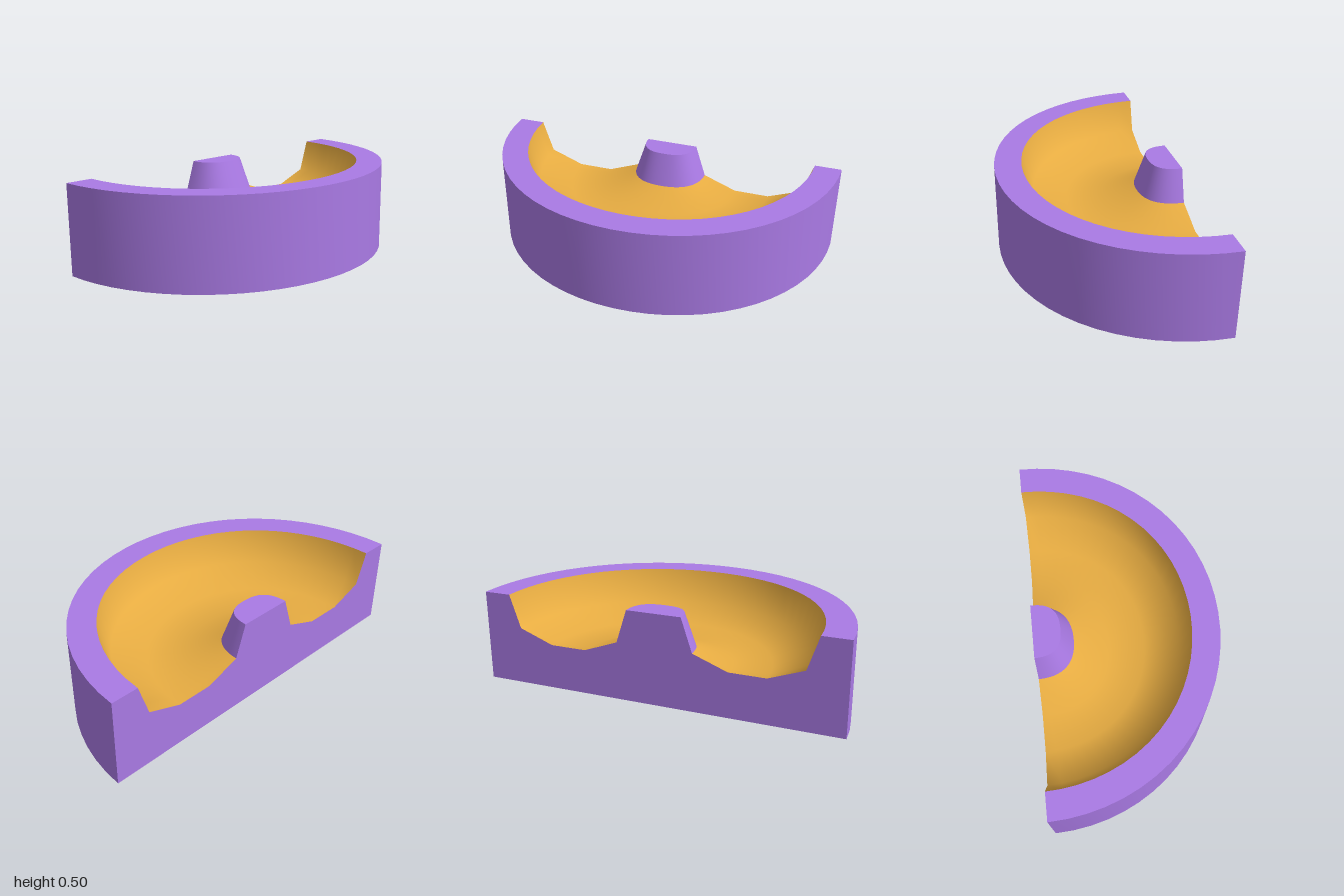
import * as THREE from 'three';

const SEGMENTS = 32; // around the half turn

// Half section of the ring-shaped hollow, from the rim in to the central post
const BOWL = [[0.85, 0.5], [0.79, 0.318], [0.6, 0.247], [0.4, 0.247], [0.21, 0.318]];
const POST_RADIUS = 0.15;
const HEIGHT = 0.5;

// Slightly squares off the rings between the axes, most visibly the small post
function squareOff(geometry) {
  const position = geometry.attributes.position;
  for (let i = 0; i < position.count; i++) {
    const x = position.getX(i);
    const z = position.getZ(i);
    const r = Math.hypot(x, z);
    if (r < 0.01) continue;
    const bulge = 0.014 * (1 - 0.6 * r) * Math.sin(2 * Math.atan2(x, z)) ** 2;
    position.setX(i, x * (1 + bulge / r));
    position.setZ(i, z * (1 + bulge / r));
  }
  geometry.computeVertexNormals();
  return geometry;
}

export function createModel() {
  const purple = new THREE.MeshStandardMaterial({ color: 0xaa7ae5 });
  purple.name = 'purple body';
  const gold = new THREE.MeshStandardMaterial({ color: 0xe8ad42 });
  gold.name = 'golden hollow';
  const grey = new THREE.MeshStandardMaterial({ color: 0xdbdbd8 });
  grey.name = 'pale grey underside';

  const model = new THREE.Group();
  model.name = 'halfBowl';

  // Half-turned surface; the axis lies on the flat cut side
  function addTurned(name, profile, material) {
    const points = profile.map(([r, y]) => new THREE.Vector2(r, y));
    const geometry = squareOff(new THREE.LatheGeometry(points, SEGMENTS, 0, Math.PI));
    const mesh = new THREE.Mesh(geometry, material);
    mesh.name = name;
    mesh.position.x = -0.5;
    model.add(mesh);
  }

  addTurned('underside', [[0, 0], [1, 0]], grey);
  addTurned('outerWall', [[1, 0], [1, HEIGHT]], purple);
  addTurned('rim', [[1, HEIGHT], BOWL[0]], purple);
  addTurned('hollow', BOWL, gold);
  addTurned('postSide', [BOWL[BOWL.length - 1], [POST_RADIUS, HEIGHT]], purple);
  addTurned('postTop', [[POST_RADIUS, HEIGHT], [0, HEIGHT]], purple);

  // Flat cut face: the section mirrored about the axis
  const half = [[1, 0], [1, HEIGHT], ...BOWL, [POST_RADIUS, HEIGHT]];
  const mirrored = half.map(([r, y]) => [-r, y]).reverse();
  const outline = [...half, ...mirrored].map(([r, y]) => new THREE.Vector2(r, y));
  const cut = new THREE.Mesh(new THREE.ShapeGeometry(new THREE.Shape(outline)), purple);
  cut.name = 'cutFace';
  cut.rotation.y = -Math.PI / 2;
  cut.position.x = -0.5;
  model.add(cut);

  return model;
}
